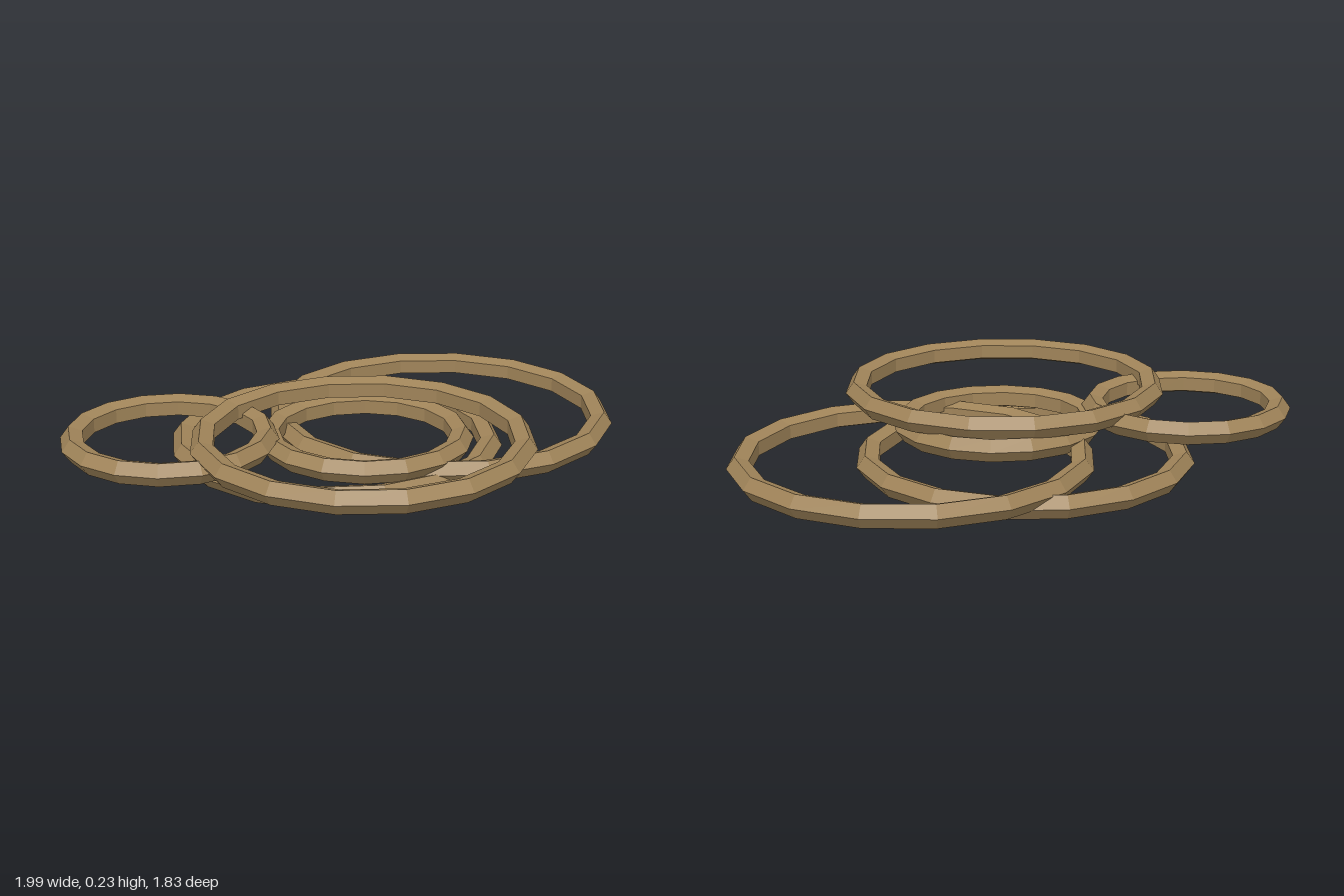
import * as THREE from 'three';

export function createModel() {
  const group = new THREE.Group();
  const wood = new THREE.MeshStandardMaterial({ color: 0xa08459, flatShading: true });
  wood.name = 'tan';

  const TUBE = 0.044;
  // name, centre x, centre y, centre z, outer radius, turn in degrees
  const rings = [
    ['bottomRing', -0.032, 0.042, -0.087, 0.612, 18],
    ['backRightRing', 0.352, 0.079, -0.272, 0.649, 14.5],
    ['innerRing', 0.077, 0.117, 0.08, 0.39, 0.5],
    ['leftRing', -0.612, 0.154, 0.215, 0.388, 0.5],
    ['topRing', 0.072, 0.192, 0.315, 0.605, 14.7],
  ];

  // Flat rings with a five-sided section, stacked in overlapping layers
  for (const [name, x, y, z, outer, turn] of rings) {
    const geometry = new THREE.TorusGeometry(outer - TUBE, TUBE, 5, 16);
    geometry.rotateZ(THREE.MathUtils.degToRad(turn));
    geometry.rotateX(-Math.PI / 2);
    const ring = new THREE.Mesh(geometry, wood);
    ring.name = name;
    ring.position.set(x, y, z);
    group.add(ring);
  }
  return group;
}
